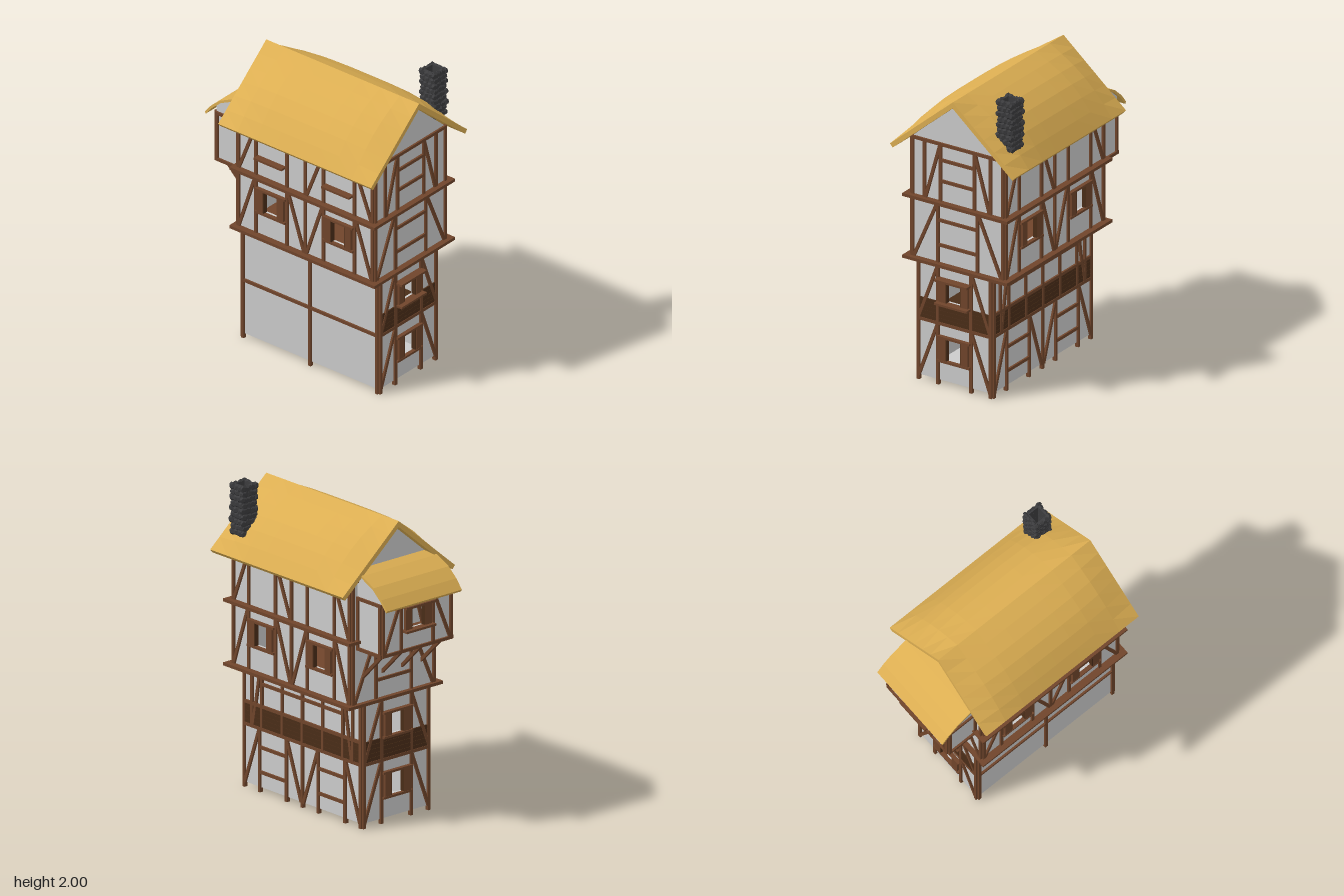
import * as THREE from 'three';

const plaster = new THREE.MeshStandardMaterial({ color: 0xcccccc, side: THREE.DoubleSide });
const wood = new THREE.MeshStandardMaterial({ color: 0x70452b });
const darkWood = new THREE.MeshStandardMaterial({ color: 0x4a2d18 });
const thatch = new THREE.MeshStandardMaterial({ color: 0xdcae52, flatShading: true, side: THREE.DoubleSide });
const stone = new THREE.MeshStandardMaterial({ color: 0x3c3c3e, flatShading: true });

function add(parent, name, geometry, material, x = 0, y = 0, z = 0) {
  const mesh = new THREE.Mesh(geometry, material);
  mesh.name = name;
  mesh.position.set(x, y, z);
  parent.add(mesh);
  return mesh;
}
const box = (parent, name, w, h, d, x, y, z, mat = wood) =>
  add(parent, name, new THREE.BoxGeometry(w, h, d), mat, x, y, z);

// A facade is a group whose local x runs along the wall, y up, z outward
function facade(parent, name, x, z, angle) {
  const g = new THREE.Group();
  g.name = name;
  g.position.set(x, 0, z);
  g.rotation.y = angle;
  parent.add(g);
  return g;
}
function wall(g, points, holes = []) {
  const shape = new THREE.Shape(points.map(p => new THREE.Vector2(...p)));
  for (const [u, y0, y1, half] of holes) {
    shape.holes.push(new THREE.Path([[u - half, y0], [u - half, y1], [u + half, y1], [u + half, y0]]
      .map(p => new THREE.Vector2(...p))));
  }
  add(g, 'wall', new THREE.ExtrudeGeometry(shape, { depth: 0.015, bevelEnabled: false }), plaster, 0, 0, -0.015);
}
const rect = (h, y0, y1) => [[-h, y0], [h, y0], [h, y1], [-h, y1]];

function beam(g, u0, y0, u1, y1, name = 'beam') {
  const len = Math.hypot(u1 - u0, y1 - y0);
  const m = box(g, name, len, 0.02, 0.024, (u0 + u1) / 2, (y0 + y1) / 2, 0.001);
  m.rotation.z = Math.atan2(y1 - y0, u1 - u0);
}
const posts = (g, list, y0, y1) => {
  for (const u of list) for (const s of u ? [-1, 1] : [1]) beam(g, s * u, y0, s * u, y1, 'post');
};
const braces = (g, u0, y0, u1, y1) => {
  for (const s of [-1, 1]) beam(g, s * u0, y0, s * u1, y1, 'brace');
};
const rail = (g, h, y, u = 0) => beam(g, u - h, y, u + h, y, 'rail');

// Lintel, sill and a pair of shutters
function window_(g, u, y0, y1, half = 0.12, ledge = 0.026) {
  for (const y of [y0 - 0.007, y1 + 0.007]) box(g, 'windowLedge', half * 2, 0.014, ledge, u, y, ledge / 2);
  for (const s of [-1, 1]) {
    box(g, 'shutter', 0.05, y1 - y0, 0.02, u + s * (half - 0.039), (y0 + y1) / 2, 0.014);
    box(g, 'windowJamb', 0.012, y1 - y0, 0.03, u + s * (half - 0.064), (y0 + y1) / 2, 0.006, darkWood);
  }
}
function planks(g, h) {
  for (let i = 0; i < 5; i++) box(g, 'plank', h * 2, 0.026, 0.014, 0, 0.43 + i * 0.0275, 0.002, darkWood);
  box(g, 'plankBacking', h * 2, 0.13, 0.01, 0, 0.485, 0, darkWood);
}

// Short walls: two lower storeys, two upper storeys and the gable
function endWalls(house, isBack) {
  const angle = isBack ? Math.PI : 0, z = isBack ? -0.43 : 0.65;
  const label = isBack ? 'back' : 'front';
  const low = facade(house, label + 'LowerFacade', -0.0275, z, angle);
  wall(low, rect(0.2725, 0.03, 0.8), [[0, 0.172, 0.318, 0.055], [0, 0.562, 0.705, 0.055]]);
  posts(low, [0.265, 0.122], 0, 0.8);
  rail(low, 0.275, 0.41);
  braces(low, 0.262, 0.03, 0.125, 0.4);
  braces(low, 0.262, 0.42, 0.125, 0.79);
  planks(low, 0.265);
  window_(low, 0, 0.172, 0.318);
  window_(low, 0, 0.562, 0.705, 0.12, isBack ? 0.03 : 0.055);

  const up = facade(house, label + 'UpperFacade', -0.005, z, angle);
  wall(up, [[-0.34, 0.8], [0.34, 0.8], [0.34, 1.61], [0.0, 1.915], [-0.34, 1.61]]);
  posts(up, [0.332, 0.145], 0.8, 1.22);
  braces(up, 0.32, 0.82, 0.15, 1.21);
  for (const y of [0.935, 1.1]) rail(up, 0.145, y);
  posts(up, [0.332, 0.243, 0.125], 1.22, 1.61);
  braces(up, 0.235, 1.23, 0.13, 1.6);
  for (const y of [1.365, 1.505]) rail(up, 0.125, y);
  rail(up, 0.342, 1.61);
}

// Long walls; the left one is plain on its lower storeys
function sideWalls(house, isLeftPlain) {
  const angle = isLeftPlain ? -Math.PI / 2 : Math.PI / 2;
  const label = isLeftPlain ? 'right' : 'left';
  const low = facade(house, label + 'LowerFacade', isLeftPlain ? -0.3 : 0.245, 0.11, angle);
  wall(low, rect(0.54, 0.03, 0.8));
  posts(low, [0.53, 0], 0, 0.8);
  rail(low, 0.54, 0.41);
  if (!isLeftPlain) {
    posts(low, [0.39, 0.145], 0, 0.41);
    braces(low, 0.525, 0.03, 0.395, 0.4);
    braces(low, 0.01, 0.03, 0.14, 0.4);
    for (const s of [-1, 1]) for (const y of [0.13, 0.29]) rail(low, 0.122, y, s * 0.2675);
    planks(low, 0.53);
    posts(low, [0.46, 0.37, 0.185], 0.41, 0.8);
    braces(low, 0.45, 0.42, 0.385, 0.79);
    rail(low, 0.535, 0.555);
    rail(low, 0.37, 0.7);
  }
  const up = facade(house, label + 'UpperFacade', isLeftPlain ? -0.345 : 0.335, 0.11, angle);
  wall(up, rect(0.54, 0.8, 1.61), [-1, 1].map(s => [s * 0.2675, 0.982, 1.13, 0.062]));
  posts(up, [0.53, 0.39, 0.145, 0], 0.8, 1.6);
  braces(up, 0.525, 0.82, 0.395, 1.21);
  braces(up, 0.01, 0.82, 0.14, 1.21);
  braces(up, 0.525, 1.23, 0.395, 1.56);
  beam(up, isLeftPlain ? 0.01 : -0.01, 1.23, isLeftPlain ? 0.14 : -0.14, 1.56, 'brace');
  for (const s of [-1, 1]) {
    window_(up, s * 0.2675, 0.982, 1.13);
    if (isLeftPlain) box(up, 'shelf', 0.22, 0.014, 0.045, s * 0.2675, 1.36, 0.0225);
  }
}

// Thatched slopes: slabs whose upper face swells toward the middle
function mainRoof(house) {
  const slope = 0.603, length = 1.21, thick = 0.03, tilt = 0.703;
  for (const s of [-1, 1]) {
    const geo = new THREE.BoxGeometry(slope, thick, length, 6, 1, 8);
    const p = geo.attributes.position;
    for (let i = 0; i < p.count; i++) {
      if (p.getY(i) < 0) continue;
      const bulge = Math.cos(Math.PI * p.getX(i) / slope) * (1 - Math.abs(2 * p.getZ(i) / length) ** 4);
      p.setY(i, p.getY(i) + 0.06 * bulge);
    }
    geo.translate(s * slope / 2, -thick / 2, 0);
    geo.computeVertexNormals();
    add(house, 'thatchedRoof', geo, thatch, 0, 1.945, 0.115).rotation.z = -s * tilt;
  }
}

// Projecting bay on the back wall
function backBay(house) {
  const bay = facade(house, 'backBay', 0, -0.65, Math.PI);
  wall(bay, rect(0.285, 1.17, 1.53), [[0, 1.31, 1.45, 0.055]]);
  posts(bay, [0.277, 0.13], 1.17, 1.5);
  braces(bay, 0.27, 1.18, 0.14, 1.49);
  for (const y of [1.175, 1.5]) rail(bay, 0.287, y);
  window_(bay, 0, 1.31, 1.45, 0.12, 0.05);
  box(bay, 'bayFloor', 0.57, 0.02, 0.22, 0, 1.175, -0.11, darkWood);
  for (const s of [-1, 1]) {
    const side = facade(house, 'baySide', s * 0.285, -0.54, s * Math.PI / 2);
    const pts = [[-0.11, 1.17], [0.11, 1.17], [0.11, 1.55], [0.03, 1.61], [-0.11, 1.67]];
    wall(side, s > 0 ? pts : pts.map(([u, y]) => [-u, y]).reverse());
    posts(side, [0.1], 1.17, 1.5);
    for (const y of [1.175, 1.5]) rail(side, 0.115, y);
  }
  // Struts under the bay
  for (let i = 0; i < 4; i++) {
    const strut = box(house, 'bayStrut', 0.02, 0.275, 0.02, -0.24 + i * 0.16, 1.075, -0.525);
    strut.rotation.x = -0.785;
  }
  // Curved lean-to roof
  const top = [[0.41, 1.69], [0.495, 1.66], [0.6, 1.61], [0.67, 1.55], [0.72, 1.49]];
  const under = top.map(([z, y]) => [z - 0.008, y - 0.014]).reverse();
  const shape = new THREE.Shape([...top, ...under].map(p => new THREE.Vector2(...p)));
  const geo = new THREE.ExtrudeGeometry(shape, { depth: 0.615, bevelEnabled: false });
  add(house, 'bayRoof', geo, thatch, -0.31, 0, 0).rotation.y = Math.PI / 2;
}

// Hollow chimney of stacked rough stones
function chimney(house) {
  let seed = 7;
  const rnd = () => (seed = (seed * 16807) % 2147483647) / 2147483647;
  const g = facade(house, 'chimney', 0.32, 0.567, 0);
  for (let k = 0; k < 4; k++) {
    const a = k * Math.PI / 2, c = Math.cos(a), s = Math.sin(a);
    box(g, 'chimneyLining', 0.1, 0.325, 0.018, s * 0.045, 1.828, c * 0.045, stone).rotation.y = a;
    for (let row = 0; row < 9; row++) {
      for (let i = 0; i < 3; i++) {
        const t = -0.05 + i * 0.036 + (row % 2) * 0.012 + (rnd() - 0.5) * 0.012, d = 0.05;
        const m = add(g, 'chimneyStone', new THREE.DodecahedronGeometry(1), stone,
          c * t + s * d, 1.683 + row * 0.0366 + (rnd() - 0.5) * 0.008, c * d - s * t);
        m.scale.set(0.022 + rnd() * 0.004, 0.022 + rnd() * 0.005, 0.014 + rnd() * 0.004);
        m.rotation.set(0, a, (rnd() - 0.5) * 0.6);
      }
    }
  }
}

export function createModel() {
  const house = new THREE.Group();
  house.name = 'timberHouse';
  endWalls(house, false);
  endWalls(house, true);
  sideWalls(house, false);
  sideWalls(house, true);
  // Floors and overhanging storey slabs
  box(house, 'groundFloor', 0.54, 0.012, 1.07, -0.0275, 0.036, 0.11, plaster);
  box(house, 'innerFloor', 0.53, 0.014, 1.06, -0.0275, 0.41, 0.11, darkWood);
  for (const y of [0.807, 1.22]) box(house, 'storeySlab', 0.77, 0.02, 1.15, -0.005, y, 0.115);
  for (const x of [-0.13, 0.1]) box(house, 'innerPost', 0.02, 0.8, 0.02, x, 0.4, 0.11);
  mainRoof(house);
  backBay(house);
  chimney(house);
  return house;
}
